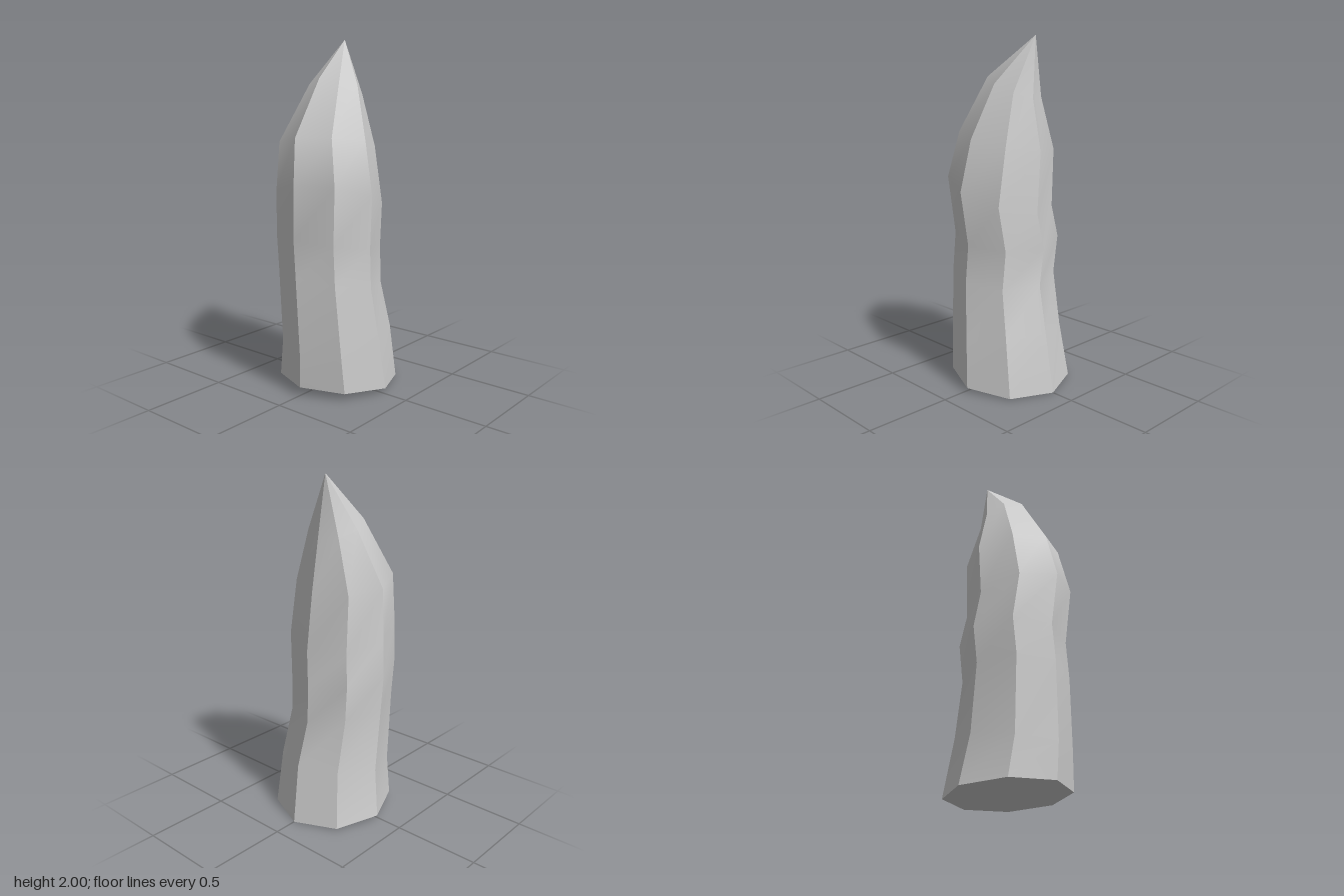
import * as THREE from 'three';

const SIDES = 8;

// Cross-sections: centre x, y, z, radius in x, radius in z, tilt along x, tilt along z
const RINGS = [
  [0.015, 0.027, 0, 0.347, 0.347, -0.025, 0],
  [-0.015, 0.3, 0.01, 0.325, 0.312, 0.045, 0],
  [-0.053, 0.65, -0.007, 0.297, 0.296, -0.04, -0.025],
  [-0.045, 0.865, -0.025, 0.3, 0.3, -0.035, -0.02],
  [-0.07, 1.12, 0.003, 0.3, 0.302, -0.09, 0.03],
  [-0.05, 1.415, -0.03, 0.27, 0.272, -0.045, 0.025],
  [0.02, 1.72, -0.025, 0.144, 0.155, -0.06, 0.02],
  [0.145, 2, -0.063, 0, 0, 0, 0],
];

function ringPoint([cx, cy, cz, rx, rz, tx, tz], j) {
  const a = (j / SIDES) * Math.PI * 2;
  const c = Math.cos(a), s = Math.sin(a);
  return [cx + rx * c, cy + tx * c + tz * s, cz + rz * s];
}

function makeMesh(name, points, index, material) {
  const geometry = new THREE.BufferGeometry();
  geometry.setAttribute('position', new THREE.Float32BufferAttribute(points.flat(), 3));
  geometry.setIndex(index);
  geometry.computeVertexNormals();
  const mesh = new THREE.Mesh(geometry, material);
  mesh.name = name;
  return mesh;
}

export function createModel() {
  const group = new THREE.Group();
  group.name = 'bentSpike';
  const material = new THREE.MeshStandardMaterial({ color: 0xcccccc });

  // Side strips: smooth along their height, sharp where neighbouring strips meet
  const points = [], index = [];
  for (let j = 0; j < SIDES; j++) {
    const start = points.length;
    RINGS.forEach((ring, i) => {
      points.push(ringPoint(ring, j), ringPoint(ring, j + 1));
      if (i === 0) return;
      const b = start + (i - 1) * 2;
      index.push(b + 1, b, b + 2);
      if (i < RINGS.length - 1) index.push(b + 1, b + 2, b + 3);
    });
  }
  group.add(makeMesh('spikeSides', points, index, material));

  // Flat, slightly tilted base
  const rim = [], fan = [];
  for (let j = 0; j < SIDES; j++) {
    rim.push(ringPoint(RINGS[0], j));
    if (j > 1) fan.push(0, j - 1, j);
  }
  group.add(makeMesh('base', rim, fan, material));

  return group;
}
